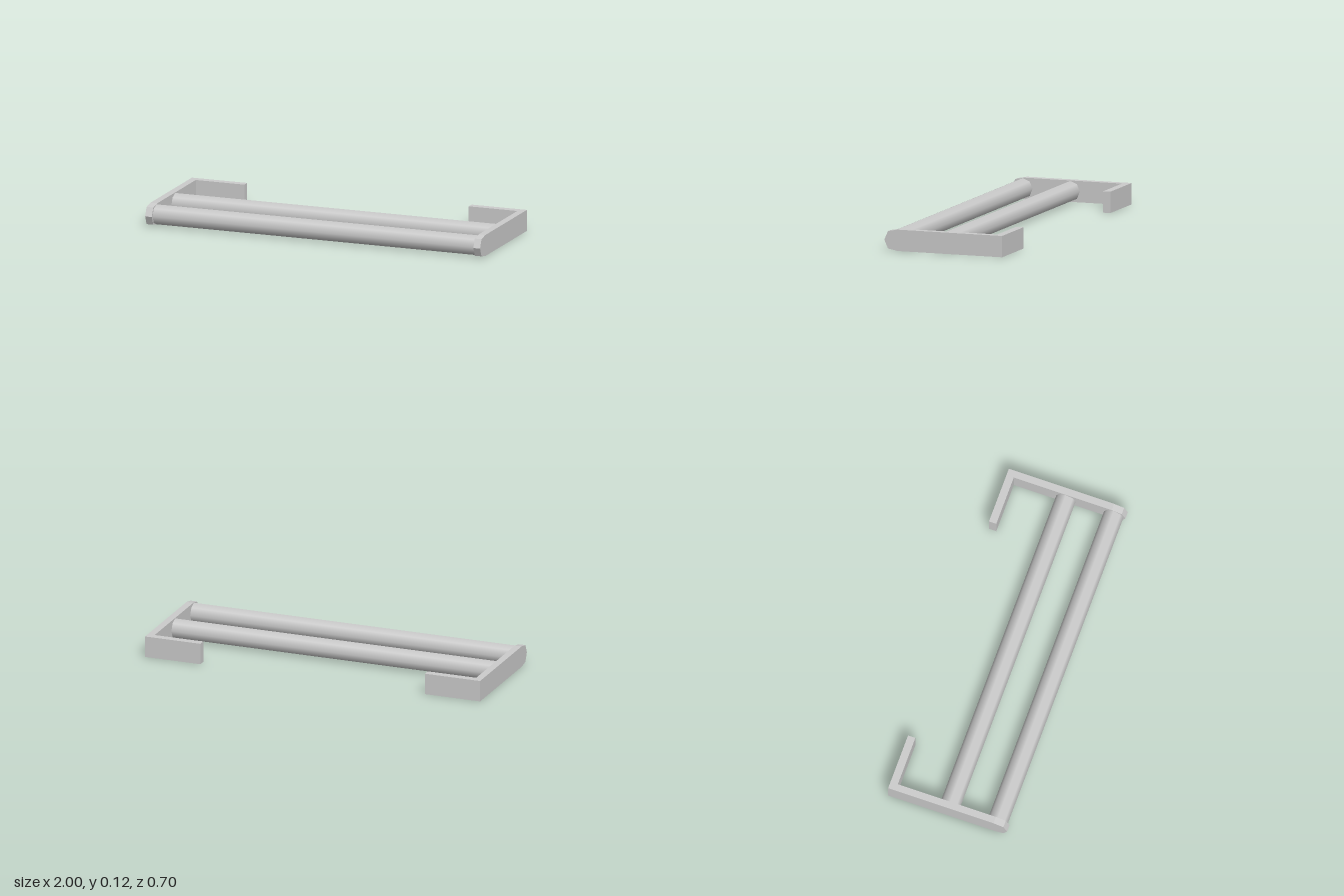
import * as THREE from 'three';

const material = new THREE.MeshStandardMaterial({ color: 0xcccccc });

// Side arm: flat bar with a faceted nose, profile in (z, y), extruded across x
function armGeometry(thickness) {
  const profile = [
    [-0.35, 0], [0.27, 0], [0.328, 0.011], [0.35, 0.06], [0.328, 0.109], [0.27, 0.12], [-0.35, 0.12],
  ];
  const shape = new THREE.Shape(profile.map(([z, y]) => new THREE.Vector2(-z, y)));
  const geometry = new THREE.ExtrudeGeometry(shape, { depth: thickness, bevelEnabled: false });
  geometry.rotateY(Math.PI / 2); // shape x becomes -z, depth becomes +x
  return geometry;
}

export function createModel() {
  const model = new THREE.Group();
  const add = (name, geometry, x, y, z) => {
    const mesh = new THREE.Mesh(geometry, material);
    mesh.name = name;
    mesh.position.set(x, y, z);
    model.add(mesh);
    return mesh;
  };

  // Mirrored side arms with inward-turned mounting flanges
  const thickness = 0.04;
  const arm = armGeometry(thickness);
  const flange = new THREE.BoxGeometry(0.29, 0.12, 0.043);
  for (const [side, s] of [['left', 1], ['right', -1]]) {
    add(side + 'Arm', arm, s > 0 ? 1 - thickness : -1, 0, 0);
    add(side + 'Flange', flange, s * 0.815, 0.06, -0.3285);
  }

  // Two eight-sided rails spanning between the arms
  const rail = new THREE.CylinderGeometry(0.057, 0.057, 1.92, 8);
  rail.rotateZ(Math.PI / 2);
  add('middleRail', rail, 0, 0.06, 0);
  add('frontRail', rail, 0, 0.06, 0.281);

  return model;
}
